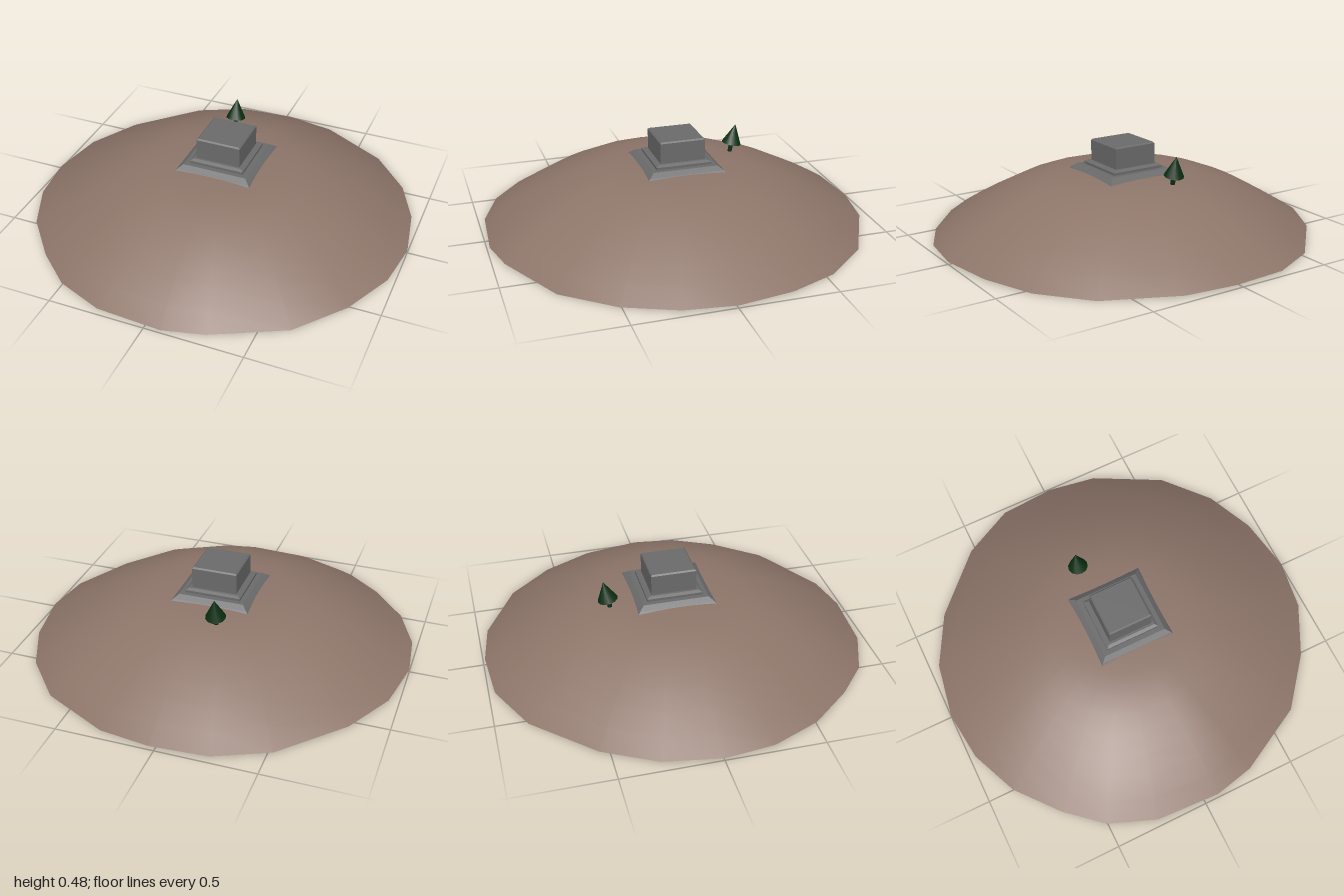
import * as THREE from 'three';

const paint = (name, color, extra = {}) => Object.assign(new THREE.MeshStandardMaterial({ color, ...extra }), { name });

// Turn a geometry into crisp facets
function faceted(geometry) {
  const g = geometry.toNonIndexed();
  g.computeVertexNormals();
  return g;
}

// Rim corners of the mound, counter-clockwise from +x: x, y, z
const RIM = [
  [1, 0.015, 0], [0.95, 0.012, -0.29], [0.84, 0.004, -0.54], [0.64, 0.002, -0.77],
  [0.29, 0.01, -0.95], [0.03, 0.015, -0.99], [-0.26, 0.014, -0.97], [-0.525, 0.006, -0.84],
  [-0.81, 0.012, -0.55], [-0.95, 0.014, -0.29], [-1, 0.015, 0], [-0.97, 0.015, 0.255],
  [-0.865, 0.015, 0.5], [-0.685, 0.013, 0.715], [-0.505, 0.006, 0.87], [-0.26, 0.004, 0.965],
  [0.08, 0.004, 0.985], [0.29, 0.011, 0.94], [0.64, 0.003, 0.755], [0.84, 0.004, 0.51],
  [0.965, 0.014, 0.255],
];

// Height of the mound at each fraction of the way to the rim
const SLOPE = [[0.1, 0.325], [0.2, 0.323], [0.3, 0.316], [0.4, 0.304], [0.5, 0.276],
  [0.6, 0.238], [0.7, 0.191], [0.8, 0.137], [0.9, 0.077], [1, 0.01]];

function moundGeometry() {
  const n = RIM.length;
  const positions = [0, 0.325, 0];
  const index = [];
  SLOPE.forEach(([s, h], ring) => {
    RIM.forEach(([x, y, z], i) => {
      positions.push(x * s, s === 1 ? y : h, z * s);
      const j = (i + 1) % n;
      const a = 1 + ring * n + i, b = 1 + ring * n + j;
      if (ring === 0) index.push(0, a, b);
      else index.push(a - n, a, b, a - n, b, b - n);
    });
  });
  const g = new THREE.BufferGeometry();
  g.setAttribute('position', new THREE.Float32BufferAttribute(positions, 3));
  g.setIndex(index);
  g.computeVertexNormals();
  return g;
}

// Square stepped solid from [half width, height] pairs
function squareStack(profile) {
  const points = profile.map(([w, y]) => new THREE.Vector2(w * Math.SQRT2, y));
  return faceted(new THREE.LatheGeometry(points, 4, Math.PI / 4));
}

export function createModel() {
  const earth = paint('earth brown', 0x8d7569, { side: THREE.DoubleSide });
  const stone = paint('stone grey', 0x6b6b6b);
  const leaf = paint('dark green', 0x0b2e12);

  const model = new THREE.Group();
  const add = (parent, name, geometry, material, y = 0) => {
    const mesh = new THREE.Mesh(geometry, material);
    mesh.name = name;
    mesh.position.y = y;
    parent.add(mesh);
    return mesh;
  };

  add(model, 'mound', moundGeometry(), earth);

  // Stepped stone plinth, its flared foot sunk into the mound
  const plinth = new THREE.Group();
  plinth.name = 'plinth';
  plinth.position.set(0.005, 0, -0.014);
  add(plinth, 'foot', squareStack([[0, 0.3], [0.22, 0.3], [0.195, 0.325], [0.17, 0.345], [0, 0.345]]), stone);
  add(plinth, 'step', squareStack([[0, 0.34], [0.145, 0.34], [0.145, 0.358], [0.13, 0.367], [0, 0.367]]), stone);
  add(plinth, 'block', squareStack([[0, 0.36], [0.118, 0.36], [0.118, 0.473], [0.111, 0.48], [0, 0.48]]), stone);
  model.add(plinth);

  // Small tree leaning away from the plinth
  const tree = new THREE.Group();
  tree.name = 'tree';
  tree.position.set(-0.078, 0.29, -0.337);
  tree.rotation.x = -0.2;
  add(tree, 'trunk', new THREE.CylinderGeometry(0.012, 0.012, 0.08, 8), leaf, 0.04);
  add(tree, 'foliage', new THREE.ConeGeometry(0.052, 0.105, 12), leaf, 0.12);
  model.add(tree);

  return model;
}
